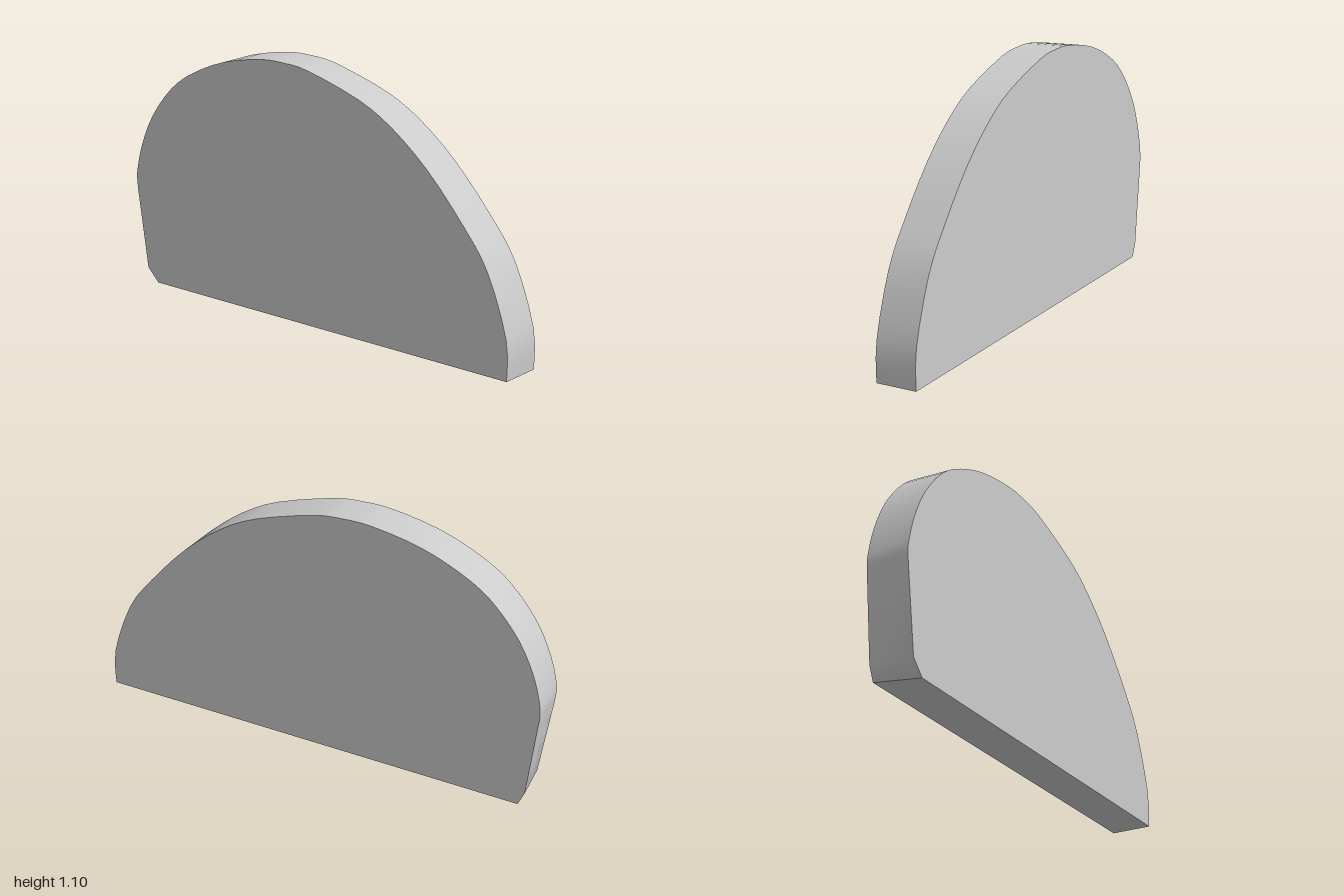
import * as THREE from 'three';
import { toCreasedNormals } from 'three/addons/utils/BufferGeometryUtils.js';

const HALF = 0.089;

// Arched side profile as (z, y), from the front foot over the crown to the rear
const ARCH = [
  [1, 0], [0.993, 0.17], [0.9, 0.42], [0.78, 0.585], [0.605, 0.775], [0.43, 0.915],
  [0.26, 1.005], [0, 1.085], [-0.13, 1.101], [-0.26, 1.099], [-0.465, 1.06],
  [-0.64, 0.99], [-0.77, 0.905], [-0.89, 0.765], [-0.963, 0.615], [-0.997, 0.48], [-0.995, 0.41],
];
// Rear foot corner
const REAR = [[-0.957, 0.06], [-0.93, 0]];

export function createModel() {
  const toPoint = ([z, y]) => new THREE.Vector2(z, y);
  const arch = new THREE.SplineCurve(ARCH.map(toPoint)).getPoints(48);
  const shape = new THREE.Shape([...arch, ...REAR.map(toPoint)]);

  let geometry = new THREE.ExtrudeGeometry(shape, { depth: 2 * HALF, bevelEnabled: false });
  geometry.rotateY(-Math.PI / 2);
  geometry.translate(HALF, 0, 0);

  // The right side is slightly smaller and its rear foot is cut back more
  const p = geometry.attributes.position;
  for (let i = 0; i < p.count; i++) {
    if (p.getX(i) > 0) continue;
    const y = p.getY(i), z = p.getZ(i);
    p.setY(i, y * 0.996);
    if (z > 0) p.setZ(i, z * 0.993);
    else if (y < 0.01) p.setZ(i, z + 0.05);
    else if (y < 0.1) p.setZ(i, z + 0.017);
    else if (y < 0.45) p.setZ(i, z + 0.004);
  }
  geometry.deleteAttribute('uv');
  geometry = toCreasedNormals(geometry, 0.7);

  const slab = new THREE.Mesh(geometry, new THREE.MeshStandardMaterial({ color: 0xcccccc }));
  slab.name = 'archedSlab';
  const group = new THREE.Group();
  group.name = 'archedPanel';
  group.add(slab);
  return group;
}
